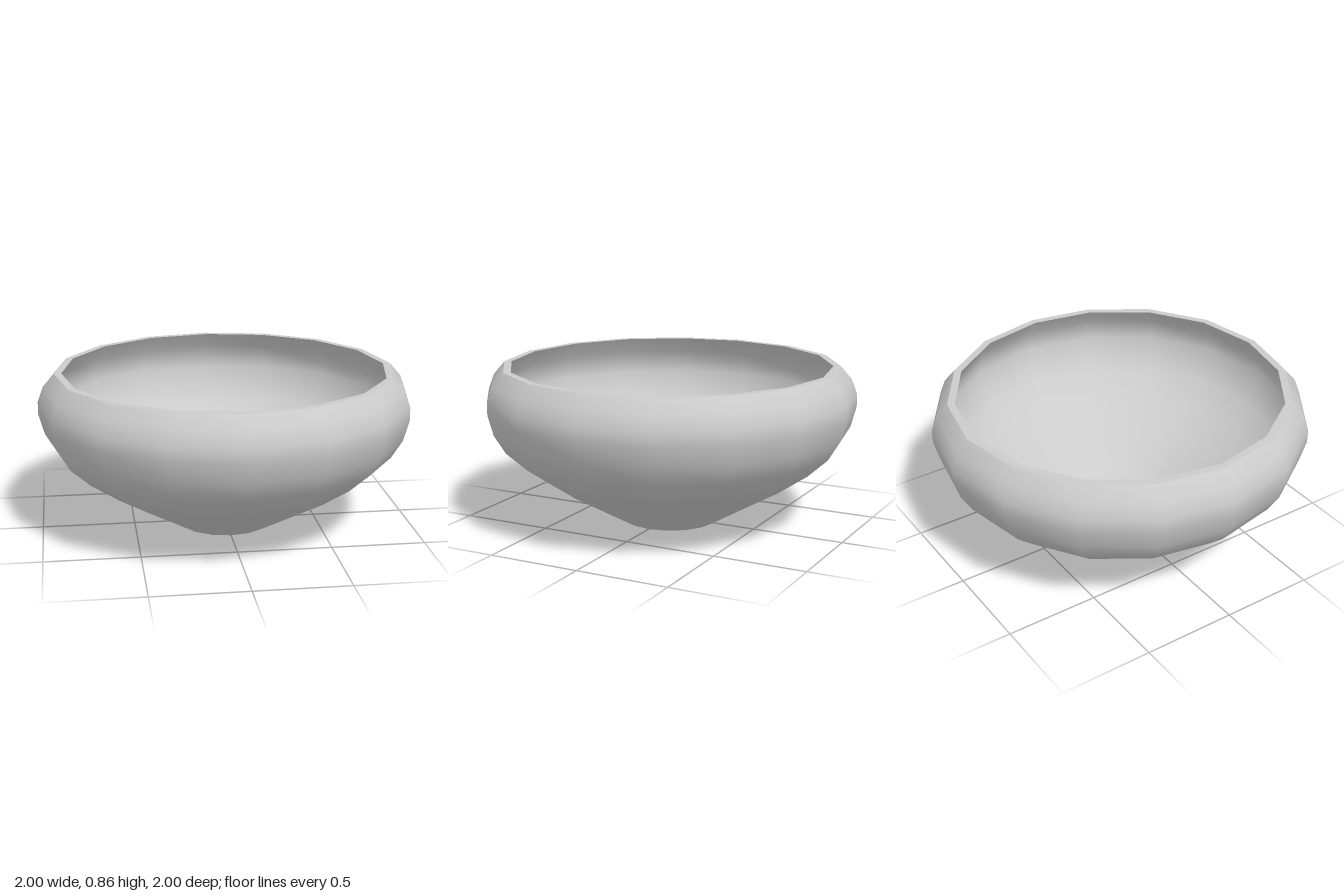
import * as THREE from 'three';

const SIDES = 16;
const material = new THREE.MeshStandardMaterial({ color: 0xcccccc });

// One smooth ring surface; separate surfaces keep the edges between them sharp
function turned(name, profile) {
  const points = profile.map(([r, y]) => new THREE.Vector2(r, y));
  const mesh = new THREE.Mesh(new THREE.LatheGeometry(points, SIDES), material);
  mesh.name = name;
  return mesh;
}

// Flat disc with corners aligned to the turned surfaces
function disc(name, radius, y, facing) {
  const mesh = new THREE.Mesh(new THREE.CircleGeometry(radius, SIDES), material);
  mesh.rotation.x = -facing * Math.PI / 2;
  mesh.position.y = y;
  mesh.name = name;
  return mesh;
}

export function createModel() {
  const bowl = new THREE.Group();
  bowl.name = 'bowl';

  // Flared outside that curls inward at the top
  const outer = [
    [0.26, 0], [0.64, 0.22], [0.8, 0.33], [0.91, 0.43], [0.97, 0.53],
    [1, 0.64], [1, 0.71], [0.97, 0.79], [0.91, 0.86],
  ];
  // Inside follows the outside at wall thickness, from rim to floor
  const inner = [
    [0.87, 0.86], [0.935, 0.77], [0.96, 0.7], [0.96, 0.645], [0.935, 0.55],
    [0.88, 0.46], [0.775, 0.365], [0.62, 0.255], [0.245, 0.04],
  ];

  bowl.add(
    turned('outerWall', outer),
    turned('rim', [outer[outer.length - 1], inner[0]]),
    turned('innerWall', inner),
    disc('innerFloor', 0.245, 0.04, 1),
    disc('base', 0.26, 0, -1),
  );
  return bowl;
}
